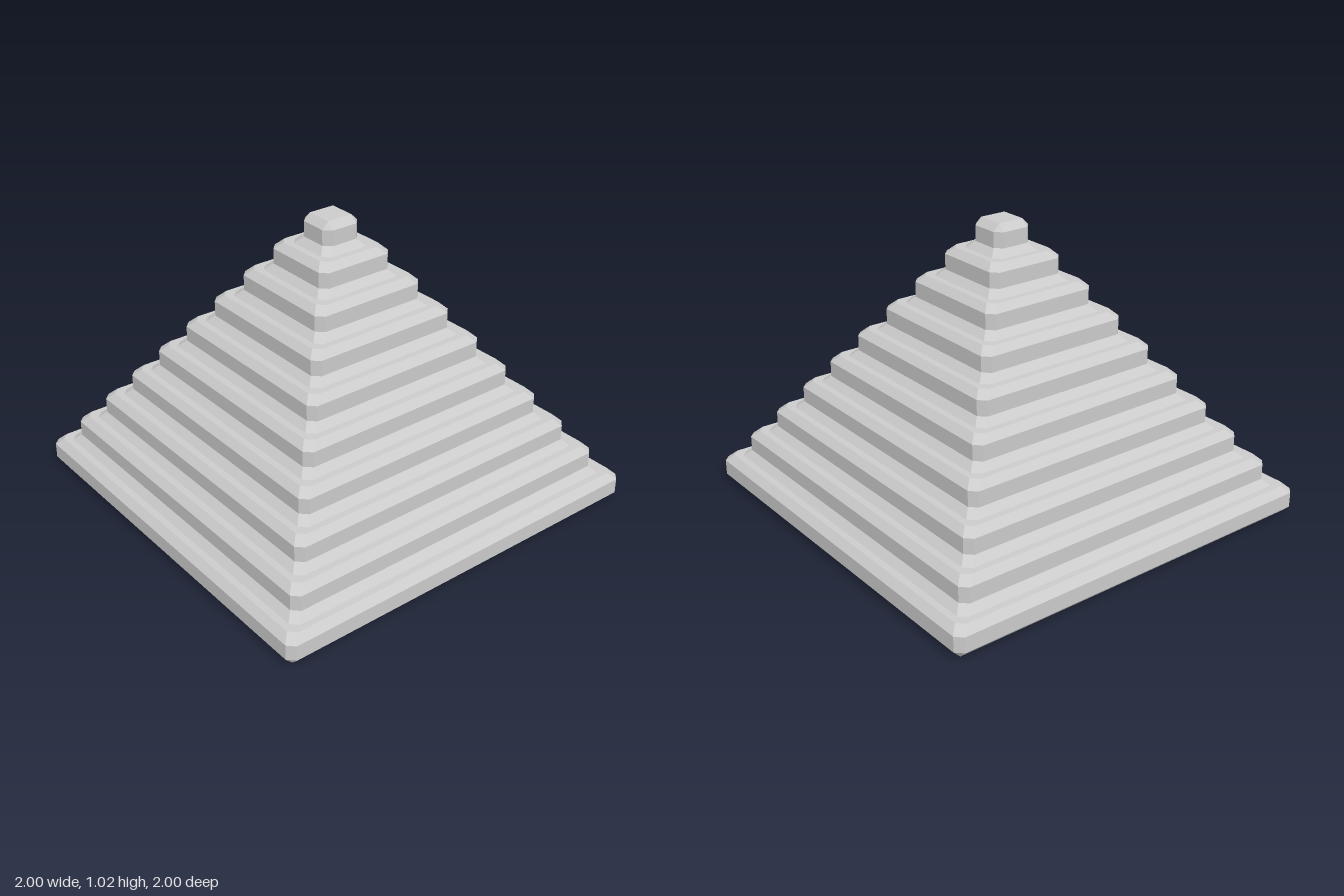
import * as THREE from 'three';

const TIERS = 10;
const RUN = 0.0719;   // horizontal step between tiers
const RISE = 0.1018;  // height of one tier
const BEVEL = 0.024;  // chamfer, cove and corner-cut size

// Square ring of half-width w with corners cut by c, counterclockwise from above
function ring(w, y, c = BEVEL) {
  const points = [];
  for (let k = 0; k < 4; k++) {
    for (const [u, v] of [[w, w - c], [w - c, w]]) {
      points.push(new THREE.Vector3(u, y, -v).applyAxisAngle(new THREE.Vector3(0, 1, 0), k * Math.PI / 2));
    }
  }
  return points;
}

// Flat-faced closed skin over a stack of rings
function loft(rings) {
  const positions = [];
  const tri = (a, b, c) => {
    const area = b.clone().sub(a).cross(c.clone().sub(a)).length();
    if (area > 1e-8) for (const p of [a, b, c]) positions.push(p.x, p.y, p.z);
  };
  for (let i = 0; i < rings.length - 1; i++) {
    const lower = rings[i], upper = rings[i + 1];
    for (let j = 0; j < 8; j++) {
      const n = (j + 1) % 8;
      tri(lower[j], lower[n], upper[n]);
      tri(lower[j], upper[n], upper[j]);
    }
  }
  const bottom = rings[0], top = rings[rings.length - 1];
  for (let j = 1; j < 7; j++) {
    tri(bottom[0], bottom[j + 1], bottom[j]);
    tri(top[0], top[j], top[j + 1]);
  }
  const geometry = new THREE.BufferGeometry();
  geometry.setAttribute('position', new THREE.Float32BufferAttribute(positions, 3));
  geometry.computeVertexNormals();
  return geometry;
}

export function createModel() {
  const rings = [];
  for (let i = 0; i < TIERS; i++) {
    const w = RUN * (TIERS - i), y = RISE * i;
    // Foot: undercut chamfer on the base, flared cove on every other tier
    rings.push(i === 0 ? ring(w - BEVEL, y, 0) : ring(w + BEVEL, y));
    // Upright wall
    rings.push(ring(w, y + BEVEL), ring(w, y + RISE - BEVEL));
    // Top chamfer leading to the ledge, or to the square cap
    rings.push(ring(w - BEVEL, y + RISE, i === TIERS - 1 ? 0 : BEVEL));
  }

  const pyramid = new THREE.Mesh(
    loft(rings),
    new THREE.MeshStandardMaterial({ color: 0xcccccc, flatShading: true })
  );
  pyramid.name = 'steppedPyramid';
  pyramid.rotation.y = Math.PI / 4; // corners point along x and z

  const group = new THREE.Group();
  group.name = 'pyramid';
  group.add(pyramid);
  return group;
}
